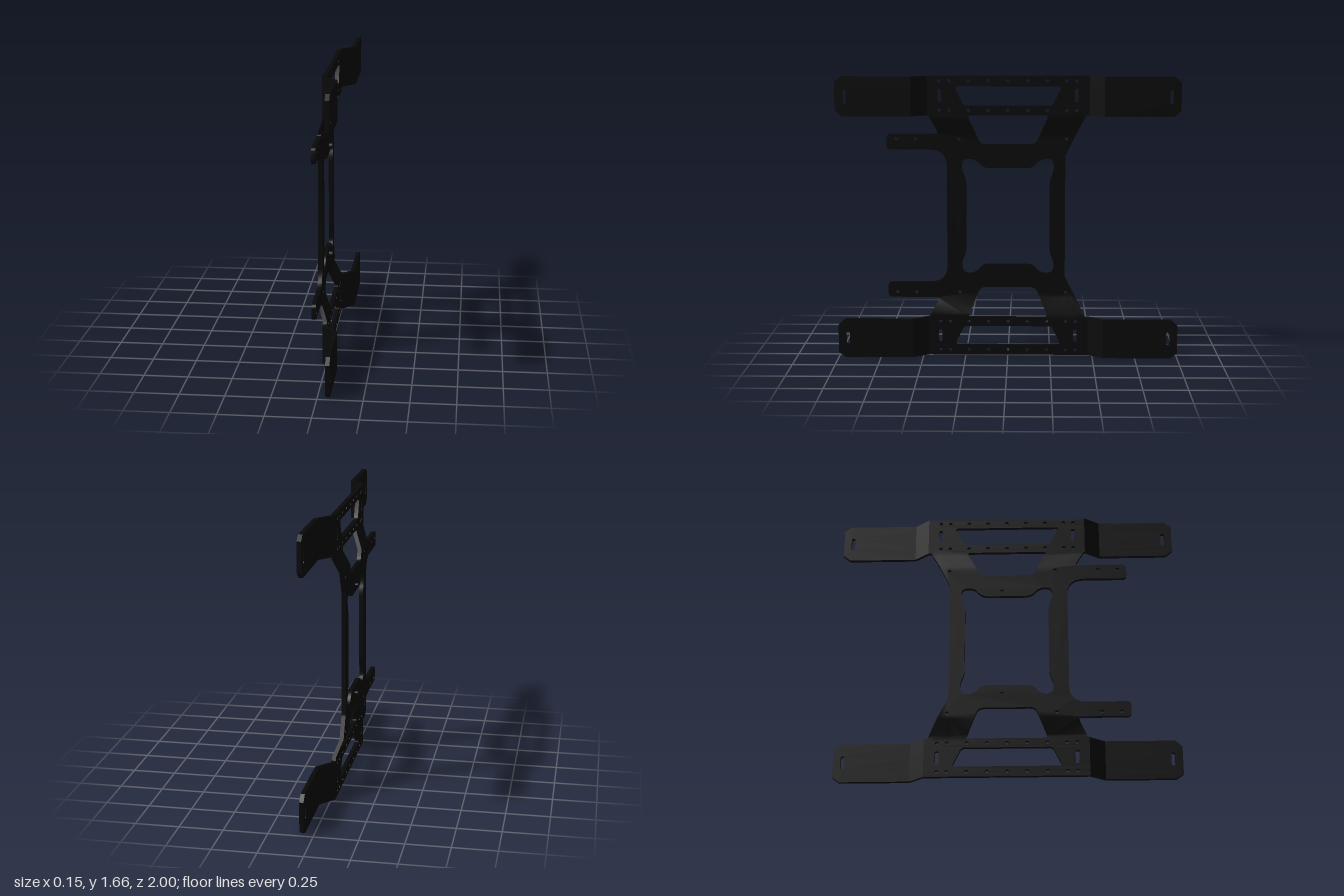
import * as THREE from 'three';
import { toCreasedNormals } from 'three/addons/utils/BufferGeometryUtils.js';

const H = 1.66, T = 0.024;
const black = new THREE.MeshStandardMaterial({ color: 0x090909 });
const flip = (pts) => pts.map(([z, y, r]) => [z, H - y, r]).reverse();
const mirrorZ = (pts) => pts.map(([z, y, r]) => [-z, y, r]).reverse();

// Closed path through [z, y, radius] corners, each rounded by its radius
function rounded(pts, path) {
  const v = pts.map(([z, y]) => new THREE.Vector2(-z, y));
  v.forEach((p, i) => {
    const a = v[(i + v.length - 1) % v.length], b = v[(i + 1) % v.length], r = pts[i][2] || 0;
    const toward = (q) => p.clone().lerp(q, Math.min(0.5, r / p.distanceTo(q)));
    const s = toward(a), e = toward(b);
    if (i === 0) path.moveTo(s.x, s.y); else path.lineTo(s.x, s.y);
    if (r) path.quadraticCurveTo(p.x, p.y, e.x, e.y);
  });
  path.closePath();
  return path;
}

const circle = (z, y) => new THREE.Path().absarc(-z, y, 0.011, 0, Math.PI * 2, true);
const slot = (z, y0, y1, w = 0.011) => rounded(
  [[z - w, y0, w], [z + w, y0, w], [z + w, y1, w], [z - w, y1, w]], new THREE.Path());

// Cut triangles along the plane axis = c so the sheet can fold there
function cutAt(tris, axis, c) {
  const out = [];
  for (const tri of tris) {
    for (const side of [1, -1]) {
      const poly = [];
      tri.forEach((p, i) => {
        const q = tri[(i + 1) % 3];
        const dp = (p[axis] - c) * side, dq = (q[axis] - c) * side;
        if (dp >= 0) poly.push(p);
        if (dp * dq < 0) poly.push(p.clone().lerp(q, dp / (dp - dq)));
      });
      if (poly.some((p) => (p[axis] - c) * side > 1e-7)) {
        for (let i = 1; i + 1 < poly.length; i++) out.push([poly[0], poly[i], poly[i + 1]]);
      }
    }
  }
  return out;
}

const ramp = (t, a, b) => THREE.MathUtils.clamp((t - a) / (b - a), 0, 1);

// Sideways offset of the folded sheet at height y and depth z
function foldOffset(y, z) {
  const up = Math.max(y, H - y);
  let x = -0.047 + 0.035 * ramp(up, 1.32, 1.41);
  if (up > 1.42) x += 0.069 * ramp(z, 0.47, 0.56) + 0.075 * ramp(-z, 0.475, 0.56);
  return x;
}

function sheetShape() {
  // Upper half of the outline, from the front leg over the rail to the back leg
  const half = [
    [0.359, 1.226, 0.1], [0.712, 1.226, 0.025], [0.712, 1.317, 0.025],
    [0.405, 1.317, 0.025], [0.462, 1.43, 0.015],
    [0.96, 1.43], [1, 1.465], [1, 1.63], [0.96, H],
    [-0.96, H], [-1, 1.63], [-1, 1.465], [-0.96, 1.43],
    [-0.455, 1.43], [-0.337, 1.192, 0.01],
  ];
  // Counter-clockwise, so the walls of the holes face into the holes
  const shape = rounded([...half, ...flip(half)].reverse(), new THREE.Shape());

  // Central opening with lobed corners
  const lobe = [
    [0.246, 1.05, 0.04], [0.272, 1.1, 0.04], [0.268, 1.172, 0.04],
    [0.19, 1.172, 0.04], [0.148, 1.117, 0.045],
  ];
  const top = [...lobe, ...mirrorZ(lobe)];
  shape.holes.push(rounded([...top, ...flip(top)], new THREE.Path()));

  const railWindow = [[0.315, 1.6, 0.02], [-0.315, 1.6, 0.02], [-0.26, 1.486, 0.02], [0.26, 1.486, 0.02]];
  const legWindow = [[0.238, 1.431, 0.02], [-0.238, 1.431, 0.02], [-0.162, 1.256, 0.03], [0.162, 1.256, 0.03]];
  for (const w of [railWindow, legWindow]) {
    shape.holes.push(rounded(w, new THREE.Path()), rounded(flip(w), new THREE.Path()));
  }

  // Bolt holes and slots, repeated at the top and bottom
  for (const m of [(y) => y, (y) => H - y]) {
    for (const y of [1.631, 1.459]) {
      for (const z of [0, 0.115, 0.23, 0.343, 0.4]) {
        shape.holes.push(circle(z, m(y)));
        if (z) shape.holes.push(circle(-z, m(y)));
      }
    }
    for (const z of [0.658, 0.543, 0.287, -0.343]) shape.holes.push(circle(z, m(1.288)));
    for (const s of [1, -1]) {
      // Ends are ordered low to high
      const [a, b] = [m(1.506), m(1.586)].sort();
      const [c, d] = [m(1.502), m(1.582)].sort();
      shape.holes.push(slot(0.4 * s, a, b), slot(0.945 * s, c, d));
    }
  }
  return shape;
}

function foldedSheet() {
  const flat = new THREE.ExtrudeGeometry(sheetShape(), { depth: T, bevelEnabled: false, curveSegments: 6 });
  flat.translate(0, 0, -T / 2).rotateY(Math.PI / 2);
  const pos = flat.attributes.position;
  let tris = [];
  for (let i = 0; i < pos.count; i += 3) {
    tris.push([0, 1, 2].map((k) => new THREE.Vector3().fromBufferAttribute(pos, i + k)));
  }
  for (const y of [1.32, 1.41]) tris = cutAt(cutAt(tris, 'y', y), 'y', H - y);
  for (const z of [0.47, 0.56, -0.475, -0.56]) tris = cutAt(tris, 'z', z);
  const verts = tris.flat().flatMap((p) => [p.x + foldOffset(p.y, p.z), p.y, p.z]);
  const geo = new THREE.BufferGeometry();
  geo.setAttribute('position', new THREE.Float32BufferAttribute(verts, 3));
  geo.computeVertexNormals();
  return toCreasedNormals(geo, 0.5);
}

// Cylinder lying along x between two positions
function pin(name, r, x0, x1, sides) {
  const geo = new THREE.CylinderGeometry(r, r, x1 - x0, sides).rotateZ(Math.PI / 2);
  const mesh = new THREE.Mesh(geo, black);
  mesh.position.x = (x0 + x1) / 2;
  mesh.name = name;
  return mesh;
}

export function createModel() {
  const model = new THREE.Group();
  model.name = 'mountingFrame';
  const sheet = new THREE.Mesh(foldedSheet(), black);
  sheet.name = 'foldedFramePlate';
  model.add(sheet);

  // Studs through the two cross pieces
  for (const y of [1.16, H - 1.16]) {
    const stud = new THREE.Group();
    stud.name = 'stud';
    stud.add(pin('studShaft', 0.011, -0.079, -0.03, 20), pin('studHead', 0.019, -0.037, -0.015, 24));
    stud.position.set(0, y, -0.03);
    model.add(stud);
  }
  return model;
}
